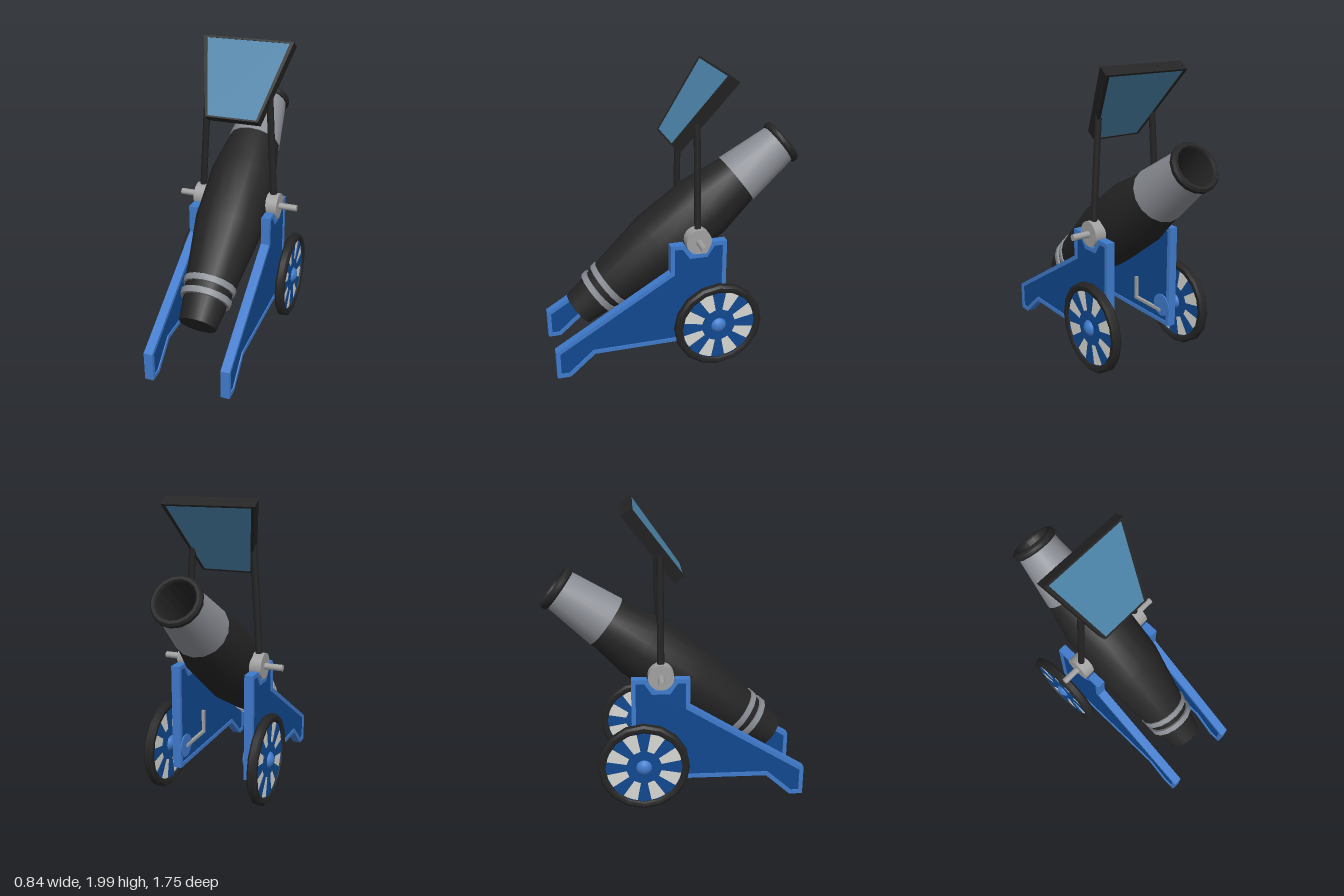
import * as THREE from 'three';
import { toCreasedNormals } from 'three/addons/utils/BufferGeometryUtils.js';

const paint = (name, color) => {
  const m = new THREE.MeshStandardMaterial({ color });
  m.name = name;
  return m;
};

export function createModel() {
  const model = new THREE.Group();
  model.name = 'cannon';

  const black = paint('black', 0x242424);
  const gunGrey = paint('gun grey', 0x8a8d94);
  const steel = paint('steel grey', 0xa0a0a0);
  const navy = paint('dark blue', 0x10488f);
  const blue = paint('mid blue', 0x3f7acb);
  const pale = paint('pale grey', 0xd6d6d2);
  const glassBlue = paint('glass blue', 0x4a82a8);

  const add = (parent, name, geometry, material, x = 0, y = 0, z = 0) => {
    const mesh = new THREE.Mesh(geometry, material);
    mesh.name = name;
    mesh.position.set(x, y, z);
    parent.add(mesh);
    return mesh;
  };
  const vec = (pts) => pts.map(([x, y]) => new THREE.Vector2(x, y));
  const lathe = (pts, sides) => toCreasedNormals(new THREE.LatheGeometry(vec(pts), sides), 0.65);
  // Cylinder lying along x
  const rod = (r, length, sides = 14) => new THREE.CylinderGeometry(r, r, length, sides).rotateZ(Math.PI / 2);
  // Slab centred on its own plane
  const slab = (outline, depth, holes = []) => {
    const shape = new THREE.Shape(vec(outline));
    holes.forEach((h) => shape.holes.push(new THREE.Path(vec(h))));
    return new THREE.ExtrudeGeometry(shape, { depth, bevelEnabled: false }).translate(0, 0, -depth / 2);
  };
  // Turns an outline drawn in (z, y) to face sideways
  const sideSlab = (...args) => slab(...args).rotateY(-Math.PI / 2);
  // Mitred inset of a counterclockwise outline
  const inset = (pts, d) => pts.map((p, i) => {
    const normal = (a, b) => {
      const l = Math.hypot(b[0] - a[0], b[1] - a[1]);
      return [(a[1] - b[1]) / l, (b[0] - a[0]) / l];
    };
    const m = normal(pts.at(i - 1), p);
    const n = normal(p, pts[(i + 1) % pts.length]);
    const k = d / (1 + m[0] * n[0] + m[1] * n[1]);
    return [p[0] + (m[0] + n[0]) * k, p[1] + (m[1] + n[1]) * k];
  });

  // Barrel, built upright from the breech and then tilted
  const barrel = new THREE.Group();
  barrel.name = 'barrel';
  barrel.position.set(0, 0.366, 0.677);
  barrel.rotation.x = -Math.atan2(0.8, 0.6);
  model.add(barrel);
  add(barrel, 'barrelBody', lathe([
    [0, 0], [0.124, 0], [0.15, 0.19], [0.176, 0.34], [0.232, 0.72], [0.23, 1.118], [0.178, 1.42],
  ], 16), black);
  add(barrel, 'muzzleSleeve', lathe([[0.17, 1.405], [0.187, 1.405], [0.143, 1.78]], 16), gunGrey);
  add(barrel, 'muzzleRing', lathe([
    [0.135, 1.772], [0.152, 1.772], [0.162, 1.785], [0.162, 1.808], [0.15, 1.823],
    [0.132, 1.823], [0.122, 1.81], [0.12, 1.3], [0, 1.3],
  ], 16), black);
  [[0.185, 0.172], [0.27, 0.178]].forEach(([s, r]) => {
    add(barrel, 'barrelBand', lathe([
      [0.12, s - 0.02], [r - 0.004, s - 0.02], [r, s + 0.02], [0.12, s + 0.02],
    ], 16), gunGrey);
  });

  // Carriage cheek outline in (z, y)
  const cheek = [
    [0.88, 0.02], [0.88, 0.22], [0.095, 0.7], [0.095, 0.895], [0, 0.895], [-0.05, 0.82],
    [-0.14, 0.82], [-0.19, 0.895], [-0.29, 0.895], [-0.29, 0.17], [0.62, 0.17], [0.79, 0.02],
  ];
  const cheekInner = inset(cheek, 0.028);

  // Tapered windows between the wheel spokes
  const windows = Array.from({ length: 8 }, (_, i) => {
    const a = (i + 0.5) * Math.PI / 4;
    const c = Math.cos(a), s = Math.sin(a);
    return [[0.115, -0.024], [0.25, -0.052], [0.25, 0.052], [0.115, 0.024]]
      .map(([r, w]) => [r * c - w * s, r * s + w * c]);
  });
  const wheelRim = Array.from({ length: 16 }, (_, i) => {
    const a = i * Math.PI / 8;
    return [0.27 * Math.cos(a), 0.27 * Math.sin(a)];
  });
  const tyreProfile = [
    [0.255, -0.025], [0.268, -0.033], [0.29, -0.032], [0.305, -0.018],
    [0.305, 0.018], [0.29, 0.032], [0.268, 0.033], [0.255, 0.025], [0.255, -0.025],
  ];

  for (const side of [1, -1]) {
    const label = side > 0 ? 'left' : 'right';

    // Carriage cheek with raised border
    const frame = new THREE.Group();
    frame.name = label + 'Cheek';
    frame.position.x = side * 0.26;
    model.add(frame);
    add(frame, 'cheekBorder', sideSlab(cheek, 0.06, [cheekInner]), blue);
    add(frame, 'cheekPanel', sideSlab(cheekInner, 0.044), navy);

    // Wheel
    const wheel = new THREE.Group();
    wheel.name = label + 'Wheel';
    wheel.position.set(side * 0.364, 0.31, -0.215);
    model.add(wheel);
    add(wheel, 'tyre', lathe(tyreProfile, 16).rotateZ(Math.PI / 2), black);
    add(wheel, 'spokes', sideSlab(wheelRim, 0.036, windows), navy);
    add(wheel, 'wheelBacking', rod(0.262, 0.026, 16), pale);
    add(wheel, 'hub', new THREE.SphereGeometry(0.058, 14, 10).scale(0.86, 1, 1), blue);

    // Axle, inner boss and brake lever
    const axleY = side > 0 ? 0.31 : 0.27;
    add(model, label + 'Axle', rod(0.008, 0.12, 8), black, side * 0.3, axleY, -0.225);
    add(model, label + 'AxleBoss', rod(0.08, 0.01, 16), blue, side * 0.228, 0.31, -0.215);
    const lever = new THREE.Group();
    lever.name = label + 'BrakeLever';
    lever.position.set(side * 0.222, axleY, 0);
    model.add(lever);
    add(lever, 'leverArm', new THREE.BoxGeometry(0.02, 0.02, 0.28), steel, 0, 0, -0.075);
    add(lever, 'leverHandle', new THREE.BoxGeometry(0.02, 0.17, 0.02), steel, 0, 0.075, 0.065);

    // Trunnion
    add(model, label + 'TrunnionDisc', rod(0.086, 0.08, 20), steel, side * 0.26, 0.91, -0.095);
    add(model, label + 'TrunnionPin', rod(0.022, 0.14, 12), steel, side * 0.352, 0.91, -0.095);

    // Post holding the shield
    const foot = new THREE.Vector3(side * 0.258, 0.96, -0.095);
    const top = new THREE.Vector3(side * 0.212, 1.7, -0.095);
    add(model, label + 'Post', new THREE.TubeGeometry(new THREE.LineCurve3(foot, top), 1, 0.023, 10), black);
  }

  // Tilted shield: dark frame with glass showing on both faces
  const shield = new THREE.Group();
  shield.name = 'shield';
  shield.position.set(0.006, 1.75, -0.133);
  shield.rotation.x = -Math.atan2(0.33, 0.45);
  model.add(shield);
  const outline = [[-0.18, -0.279], [0.18, -0.279], [0.312, 0.279], [-0.312, 0.279]];
  const pane = [[-0.165, -0.268], [0.165, -0.268], [0.284, 0.266], [-0.284, 0.266]];
  add(shield, 'shieldFrame', slab(outline, 0.08, [pane]), black);
  add(shield, 'shieldGlass', slab(pane, 0.074), glassBlue);

  return model;
}
